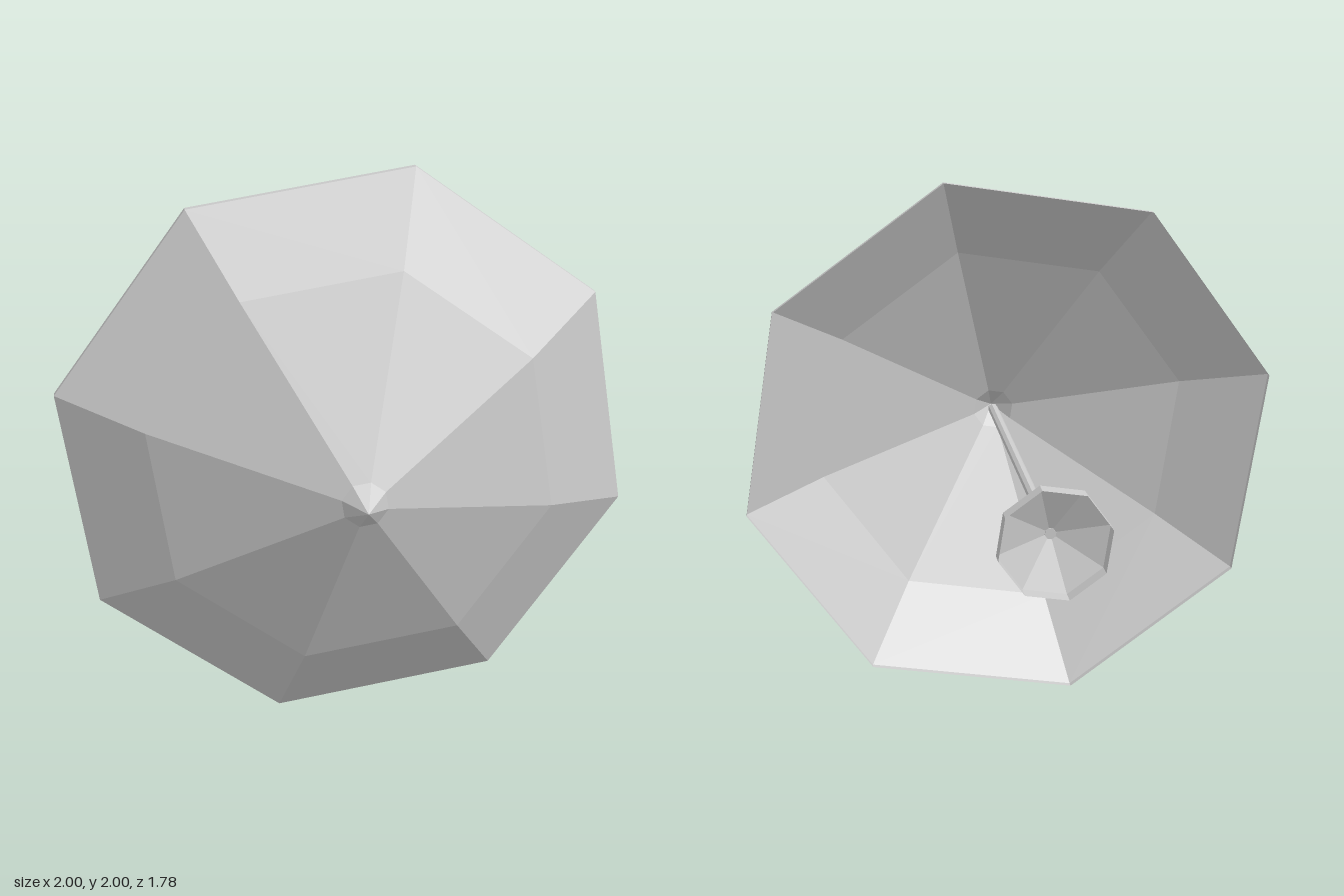
import * as THREE from 'three';

const SIDES = 8;
const PHASE = THREE.MathUtils.degToRad(31.5); // twist of the octagon about the pole

const material = new THREE.MeshStandardMaterial({
  color: 0xcccccc, flatShading: true, side: THREE.DoubleSide,
});

// Revolve a [radius, z] profile (back to front) into an eight-sided part along z
function revolve(name, profile) {
  const points = profile.map(([r, z]) => new THREE.Vector2(r, z));
  const geometry = new THREE.LatheGeometry(points, SIDES, PHASE, Math.PI * 2);
  geometry.rotateX(Math.PI / 2);
  const mesh = new THREE.Mesh(geometry, material);
  mesh.name = name;
  return mesh;
}

export function createModel() {
  const umbrella = new THREE.Group();
  umbrella.name = 'umbrella';

  // Open thin canopy with a short straight rim
  umbrella.add(revolve('canopy', [
    [1.028, 0.275], [1.028, 0.3], [0.72, 0.51], [0.08, 0.81],
  ]));

  // Pointed tip
  umbrella.add(revolve('tip', [[0.08, 0.81], [0, 0.89]]));

  // Slim pole, closed at both ends
  umbrella.add(revolve('pole', [
    [0, -0.765], [0.0195, -0.765], [0.0195, 0.82], [0, 0.82],
  ]));

  // Hollow flared cup at the back end of the pole
  umbrella.add(revolve('handleCup', [
    [0.194, -0.89], [0.194, -0.83], [0.0195, -0.76],
  ]));

  umbrella.position.y = 1;
  const model = new THREE.Group();
  model.add(umbrella);
  return model;
}
